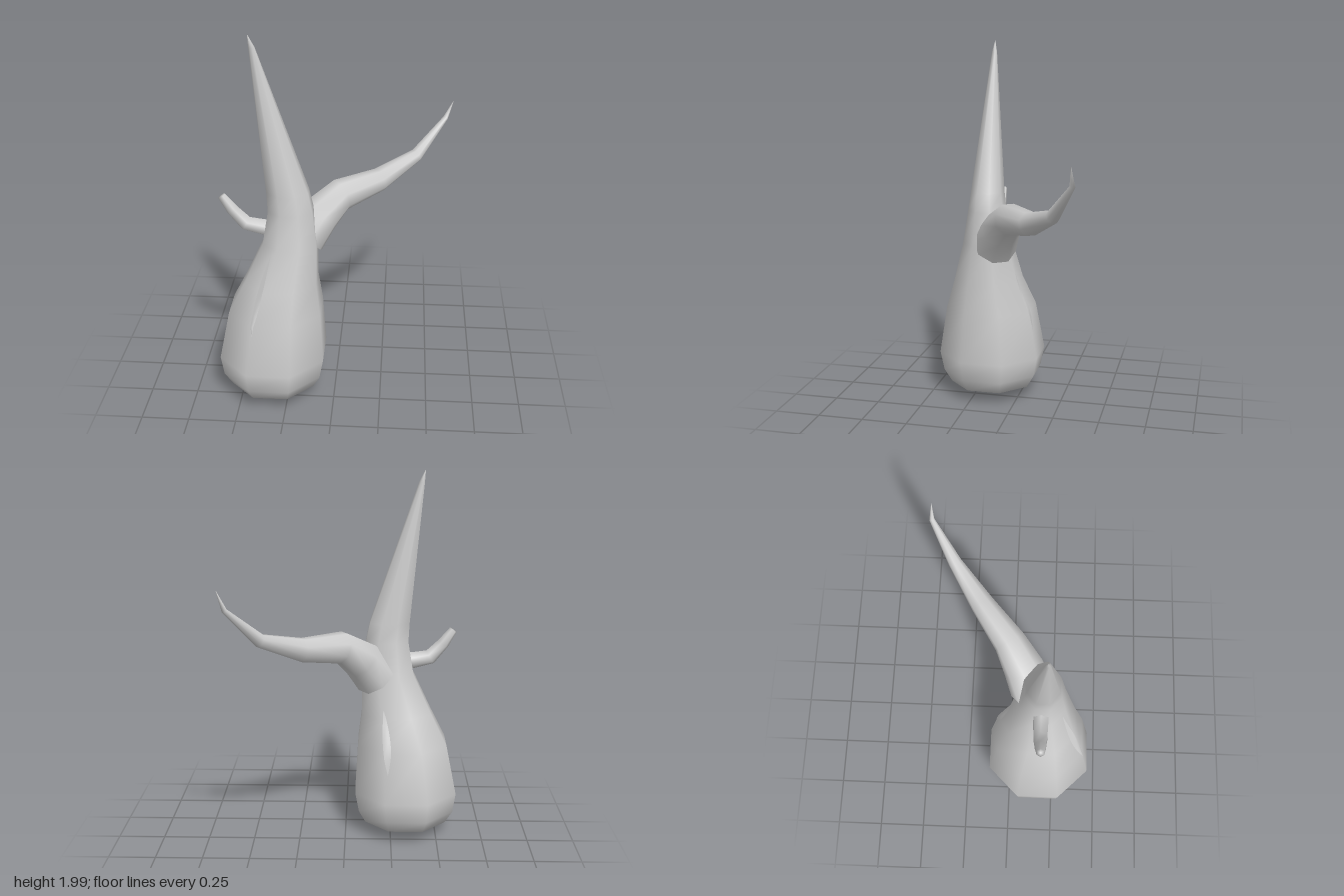
import * as THREE from 'three';

const bark = new THREE.MeshStandardMaterial({ color: 0xcccccc });
bark.name = 'greyBark';
bark.side = THREE.DoubleSide;

// Skin a list of rings; closed rings wrap around
function loft(rings, closed, name) {
  const n = rings[0].length;
  const pos = rings.flat().flatMap((p) => [p.x, p.y, p.z]);
  const index = [];
  for (let i = 0; i < rings.length - 1; i++) {
    for (let j = 0; j < (closed ? n : n - 1); j++) {
      const k = (j + 1) % n;
      const a = i * n + j, b = i * n + k, c = a + n, d = b + n;
      index.push(a, b, d, a, d, c);
    }
  }
  const g = new THREE.BufferGeometry();
  g.setAttribute('position', new THREE.Float32BufferAttribute(pos, 3));
  g.setIndex(index);
  g.computeVertexNormals();
  const mesh = new THREE.Mesh(g, bark);
  mesh.name = name;
  return mesh;
}

// Trunk stations: y, min x, max x, min z, max z
const trunk = [
  [0.01, -0.331, -0.329, 0.164, 0.166],
  [0.08, -0.55, -0.11, -0.055, 0.385],
  [0.15, -0.59, -0.075, -0.095, 0.425],
  [0.26, -0.605, -0.055, -0.115, 0.445],
  [0.53, -0.55, -0.07, -0.07, 0.4],
  [0.7, -0.465, -0.09, -0.005, 0.35],
  [0.92, -0.365, -0.09, 0.04, 0.29],
  [1.1, -0.335, -0.11, 0.07, 0.262],
  [1.2, -0.34, -0.13, 0.083, 0.25],
  [1.94, -0.407, -0.378, 0.152, 0.178],
  [2, -0.411, -0.409, 0.164, 0.166],
];

// Point on the octagonal trunk at an angle and height
function onTrunk(angle, y, scale = 1) {
  let i = 0;
  while (i < trunk.length - 2 && y > trunk[i + 1][0]) i++;
  const f = (y - trunk[i][0]) / (trunk[i + 1][0] - trunk[i][0]);
  const [, x0, x1, z0, z1] = trunk[i].map((v, k) => v + (trunk[i + 1][k] - v) * f);
  const flat = Math.round(angle / (Math.PI / 4)) * (Math.PI / 4);
  const r = scale / Math.cos(angle - flat);
  return new THREE.Vector3(
    (x0 + x1) / 2 + (r * Math.cos(angle) * (x1 - x0)) / 2,
    y,
    (z0 + z1) / 2 - (r * Math.sin(angle) * (z1 - z0)) / 2,
  );
}

// Tube through stations [x, y, z, radius], bending in one vertical plane
function branch(stations, sides, name) {
  const pts = stations.map((s) => new THREE.Vector3(s[0], s[1], s[2]));
  const last = pts.length - 1;
  const side = pts[last].clone().sub(pts[0]).cross(new THREE.Vector3(0, 1, 0)).normalize();
  const rings = pts.map((p, i) => {
    const t = pts[Math.min(i + 1, last)].clone().sub(pts[Math.max(i - 1, 0)]).normalize();
    const v = t.cross(side);
    return Array.from({ length: sides }, (_, j) => {
      const a = ((j + 0.5) / sides) * Math.PI * 2;
      return p.clone()
        .addScaledVector(side, Math.cos(a) * stations[i][3])
        .addScaledVector(v, Math.sin(a) * stations[i][3]);
    });
  });
  rings.push(rings[last].map(() => pts[last].clone())); // end cap
  return loft(rings, true, name);
}

// Leaf-shaped plate lying on the trunk, angles in degrees
function slit(y0, y1, a0, a1, halfWidth, name) {
  const rings = [];
  for (let i = 0; i <= 8; i++) {
    const f = i / 8;
    const w = halfWidth * Math.sin(f * Math.PI);
    rings.push([-1, -0.33, 0.33, 1].map((s) =>
      onTrunk(THREE.MathUtils.degToRad(a0 + (a1 - a0) * f + s * w), y0 + (y1 - y0) * f, 1.015)));
  }
  return loft(rings, false, name);
}

export function createModel() {
  const model = new THREE.Group();
  model.name = 'deadTree';

  // Bulbous trunk rising to a spike
  const rings = trunk.map(([y]) =>
    Array.from({ length: 8 }, (_, j) => onTrunk(((j + 0.5) * Math.PI) / 4, y)));
  model.add(loft(rings, true, 'trunk'));

  // Long branch sweeping back and up
  model.add(branch([
    [-0.165, 0.91, 0.11, 0.118],
    [-0.085, 1.02, 0.06, 0.107],
    [0.02, 1.105, -0.015, 0.086],
    [0.215, 1.13, -0.165, 0.063],
    [0.41, 1.215, -0.315, 0.036],
    [0.562, 1.39, -0.432, 0.014],
    [0.6, 1.487, -0.43, 0.001],
  ], 8, 'longBranch'));

  // Short broken branch on the other side
  model.add(branch([
    [-0.28, 0.985, 0.16, 0.046],
    [-0.36, 0.99, 0.16, 0.045],
    [-0.455, 1.01, 0.16, 0.041],
    [-0.523, 1.085, 0.16, 0.032],
    [-0.575, 1.16, 0.16, 0.022],
  ], 6, 'shortBranch'));

  // Narrow slits in the bark
  model.add(slit(0.48, 0.91, -111, -124, 5, 'frontSlit'));
  model.add(slit(0.42, 0.76, 71, 71, 5, 'backSlit'));
  return model;
}
